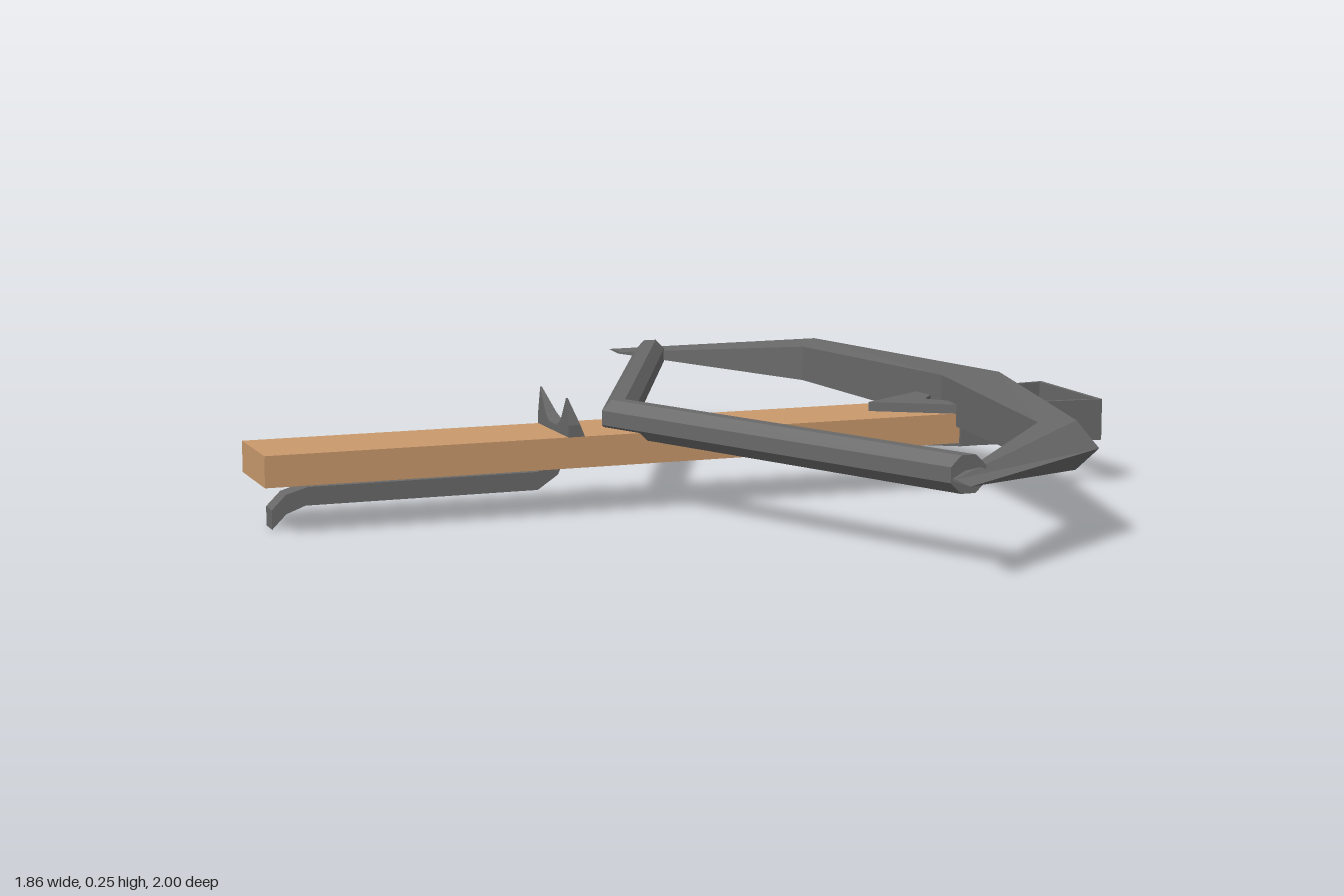
import * as THREE from 'three';

const wood = new THREE.MeshStandardMaterial({ color: 0xc8986c, flatShading: true });
wood.name = 'wood';
const metal = new THREE.MeshStandardMaterial({ color: 0x686868, flatShading: true });
metal.name = 'dark metal';

// Skin over rings of [x, y, z] points, counter-clockwise seen from +z, rings ordered along +z
function loft(rings) {
  const n = rings[0].length, last = (rings.length - 1) * n, index = [];
  for (let r = 0; r < rings.length - 1; r++) {
    for (let i = 0; i < n; i++) {
      const a = r * n + i, b = r * n + (i + 1) % n;
      index.push(a, b, b + n, a, b + n, a + n);
    }
  }
  for (let i = 1; i < n - 1; i++) {
    index.push(0, i + 1, i, last, last + i, last + i + 1);
  }
  const g = new THREE.BufferGeometry();
  g.setAttribute('position', new THREE.Float32BufferAttribute(rings.flat(2), 3));
  g.setIndex(index);
  const flat = g.toNonIndexed();
  flat.computeVertexNormals();
  return flat;
}

function extrude(points, depth) {
  const shape = new THREE.Shape(points.map(([x, y]) => new THREE.Vector2(x, y)));
  return new THREE.ExtrudeGeometry(shape, { depth, bevelEnabled: false });
}

export function createModel() {
  const model = new THREE.Group();
  model.name = 'crossbow';
  const add = (name, geometry, material = metal) => {
    const mesh = new THREE.Mesh(geometry, material);
    mesh.name = name;
    model.add(mesh);
    return mesh;
  };

  // Wooden stock
  add('stock', new THREE.BoxGeometry(1.54, 0.065, 0.2), wood).position.set(-0.16, 0.1325, 0);

  // Bow limbs: five-sided section, mirrored about the centre
  const section = (outer, ridge, inner, y0 = 0.185) => [
    outer, ridge, inner,
    [inner[0], 2 * y0 - inner[1], inner[2]],
    [ridge[0], 2 * y0 - ridge[1], ridge[2]],
  ];
  const centre = section([0.785, 0.185, 0], [0.745, 0.235, 0], [0.605, 0.235, 0]);
  const elbow = section([0.61, 0.185, 0.71], [0.585, 0.235, 0.66], [0.53, 0.225, 0.6]);
  const tip = section([0.185, 0.185, 1], [0.185, 0.188, 0.935], [0.185, 0.187, 0.925]);
  const flip = (ring) => ring.map(([x, y, z]) => [x, y, -z]);
  add('bow', loft([flip(tip), flip(elbow), centre, elbow, tip]));

  // Drawn string: octagonal section, cut square to z
  const stringRing = (x, z) => Array.from({ length: 8 }, (_, i) => {
    const a = (i + 0.5) * Math.PI / 4;
    return [x + 0.04 * Math.cos(a), 0.185 + 0.04 * Math.sin(a), z];
  });
  add('string', loft([stringRing(0.24, -0.86), stringRing(-0.147, 0), stringRing(0.24, 0.88)]));

  // Long trigger lever under the stock
  const lever = extrude([
    [-0.9, 0.005], [-0.87, 0.035], [-0.83, 0.05], [-0.335, 0.05], [-0.29, 0.08],
    [-0.28, 0.105], [-0.31, 0.105], [-0.335, 0.088], [-0.825, 0.088], [-0.87, 0.075], [-0.9, 0.045],
  ], 0.05);
  lever.translate(0, -0.005, -0.025);
  add('trigger', lever);

  // Notched rear sight, thinning towards its two peaks
  const sight = extrude([
    [-0.1, 0], [0.1, 0], [0.1, 0.025], [0.085, 0.08], [0.05, 0.03],
    [0.025, 0.015], [-0.025, 0.015], [-0.05, 0.03], [-0.085, 0.08], [-0.1, 0.025],
  ], 1);
  const p = sight.attributes.position;
  for (let i = 0; i < p.count; i++) {
    p.setZ(i, p.getZ(i) * (0.036 - 0.4 * p.getY(i)));
  }
  sight.rotateY(Math.PI / 2);
  sight.translate(-0.292, 0.165, 0);
  sight.computeVertexNormals();
  add('rearSight', sight);

  // Chevron clamps above and below the stock nose
  for (const [name, y, h] of [['upperClamp', 0.165, 0.02], ['lowerClamp', 0.094, 0.006]]) {
    const g = extrude([[0.43, 0], [0.6, -0.108], [0.65, -0.108], [0.565, 0], [0.65, 0.108], [0.6, 0.108]], h);
    g.rotateX(-Math.PI / 2);
    g.translate(0, y, 0);
    add(name, g);
  }

  // Foot stirrup at the nose: two splayed side straps and a cross bar
  for (const side of [1, -1]) {
    const a = Math.atan2(0.035, 0.32);
    const strap = add(side > 0 ? 'leftStrap' : 'rightStrap', new THREE.BoxGeometry(0.325, 0.09, 0.01));
    strap.position.set(0.762, 0.14, side * 0.122);
    strap.rotation.y = -side * a;
  }
  add('stirrupBar', new THREE.BoxGeometry(0.01, 0.09, 0.285)).position.set(0.92, 0.14, 0);

  return model;
}
